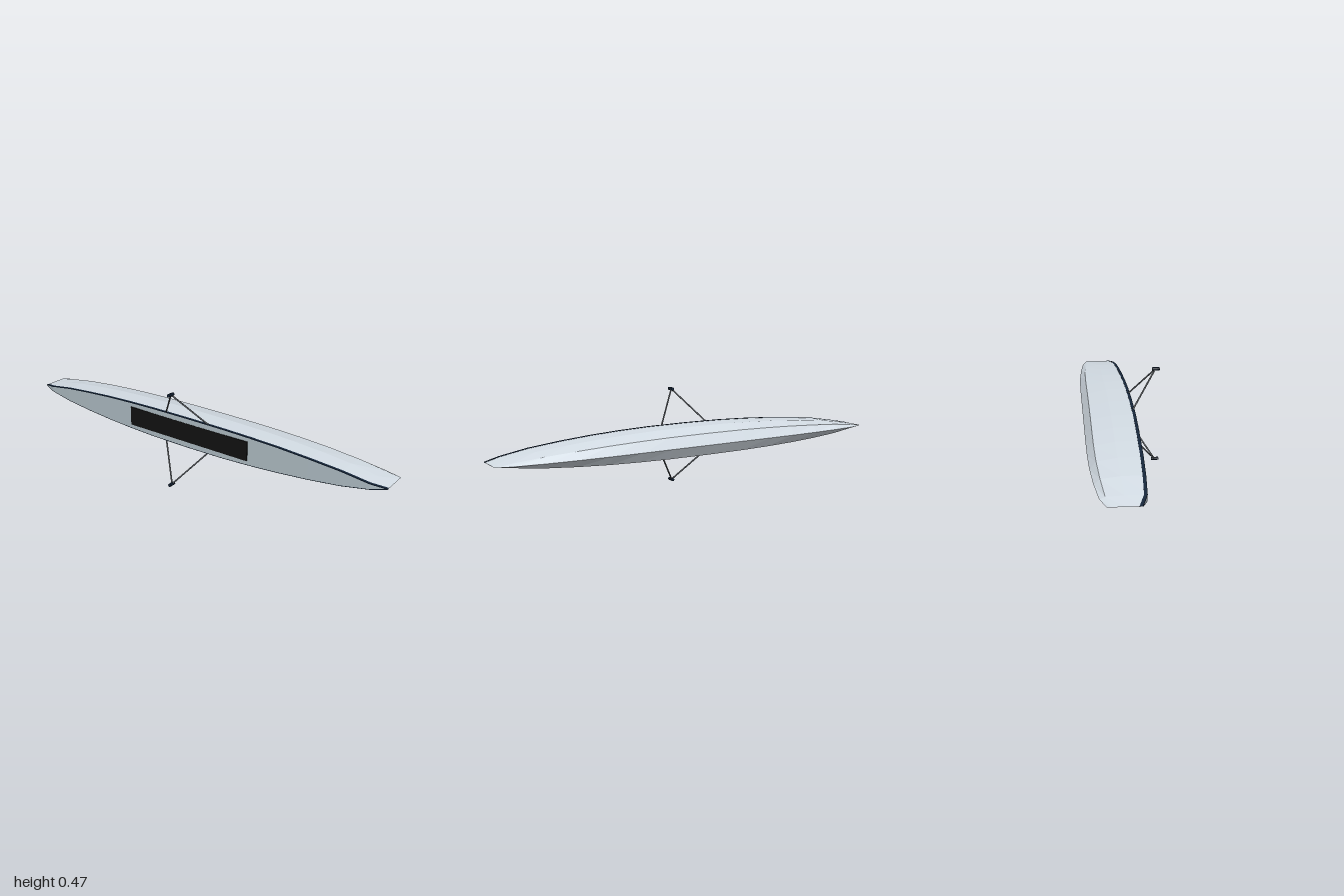
import * as THREE from 'three';

const MID = 0.235; // height of the hull's centre line

// x, half beam, deck edge z, keel z for one half of the boat
const half = [
  [0, 0.074, 0.053, -0.181], [0.2, 0.0725, 0.052, -0.181], [0.35, 0.068, 0.049, -0.181],
  [0.5, 0.0605, 0.045, -0.18], [0.65, 0.049, 0.041, -0.176], [0.8, 0.034, 0.035, -0.166],
  [0.93, 0.013, 0.027, -0.151], [1, 0.0008, 0.004, -0.128],
];
const stations = [...half.slice(1).reverse().map(([x, ...r]) => [-x, ...r]), ...half];

const material = (color, extra = {}) => new THREE.MeshStandardMaterial({ color, ...extra });

// Skin a [y, z] section along all stations
function loft(name, section, mat) {
  const pos = [], index = [];
  const n = section(0, 0, 0).length;
  stations.forEach(([x, b, zs, zk], i) => {
    section(b, zs, zk).forEach(([y, z], j) => {
      pos.push(x, MID + y, z);
      if (i < stations.length - 1 && j < n - 1) {
        const a = i * n + j, d = a + n;
        index.push(a, d, d + 1, a, d + 1, a + 1);
      }
    });
  });
  const geo = new THREE.BufferGeometry();
  geo.setAttribute('position', new THREE.Float32BufferAttribute(pos, 3));
  geo.setIndex(index);
  const flat = geo.toNonIndexed();
  flat.computeVertexNormals();
  const mesh = new THREE.Mesh(flat, mat);
  mesh.name = name;
  return mesh;
}

// Round bar between two points
function bar(name, from, to, radius, mat) {
  const dir = to.clone().sub(from);
  const mesh = new THREE.Mesh(new THREE.CylinderGeometry(radius, radius, dir.length(), 8), mat);
  mesh.position.copy(from).add(to).multiplyScalar(0.5);
  mesh.quaternion.setFromUnitVectors(new THREE.Vector3(0, 1, 0), dir.normalize());
  mesh.name = name;
  return mesh;
}

export function createModel() {
  const model = new THREE.Group();
  model.name = 'rowingShell';

  const hullMat = material(0xd5dee6, { flatShading: true, side: THREE.DoubleSide });
  const deckMat = material(0xb0bec5, { flatShading: true, side: THREE.DoubleSide });
  const navy = material(0x16263a, { flatShading: true, side: THREE.DoubleSide });
  const black = material(0x111111);
  const metal = material(0x5c6166);

  // Hull: faceted section from one gunwale round the keel to the other
  model.add(loft('hull', (b, zs, zk) => {
    const at = (w, f) => [b * w, zs + (zk - zs) * f];
    const side = [at(1, 0), at(0.96, 0.48), at(0.68, 0.875)];
    return [...side, at(0, 1), ...side.map(([y, z]) => [-y, z]).reverse()];
  }, hullMat));

  // Flat deck
  model.add(loft('deck', (b, zs) => [[-b, zs], [b, zs]], deckMat));

  // Dark gunwale trim, slightly proud of the hull
  for (const s of [1, -1]) {
    const trim = (b, zs) => {
      const pts = [[b - 0.002, zs + 0.0005], [b + 0.001, zs + 0.0005], [b + 0.001, zs - 0.013], [b - 0.002, zs - 0.013]];
      return s > 0 ? pts : pts.map(([y, z]) => [-y, z]).reverse();
    };
    model.add(loft(s > 0 ? 'upperGunwale' : 'lowerGunwale', trim, navy));
  }

  // Cockpit panel set in the deck
  const cockpit = new THREE.Mesh(new THREE.BoxGeometry(0.69, 0.095, 0.02), black);
  cockpit.position.set(0, MID, 0.044);
  cockpit.name = 'cockpit';
  model.add(cockpit);

  // Riggers: two stays meeting at an oarlock on each side
  for (const s of [1, -1]) {
    const rigger = new THREE.Group();
    rigger.name = s > 0 ? 'upperRigger' : 'lowerRigger';
    const tip = new THREE.Vector3(0, MID + s * 0.227, 0.163);
    for (const x of [-0.125, 0.125]) {
      rigger.add(bar('stay', new THREE.Vector3(x, MID + s * 0.072, 0.047), tip, 0.0038, metal));
    }
    rigger.add(bar('oarlock', new THREE.Vector3(0, tip.y, 0.148), new THREE.Vector3(0, tip.y, 0.183), 0.008, navy));
    model.add(rigger);
  }
  return model;
}
